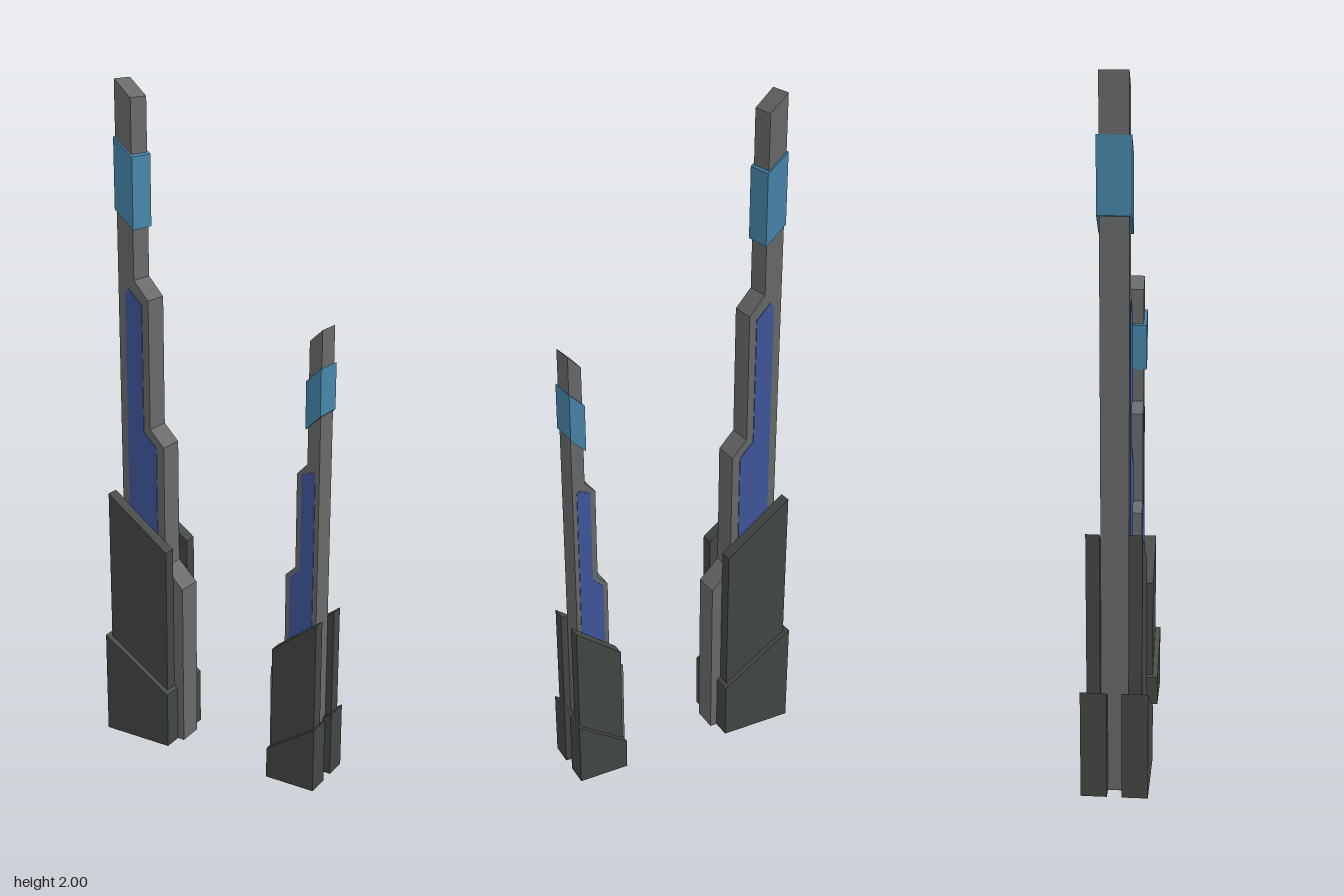
import * as THREE from 'three';

const flat = (name, color) => {
  const m = new THREE.MeshStandardMaterial({ color });
  m.name = name;
  return m;
};

// Extrude a front outline between two depths
function slab(name, points, z0, z1, material) {
  const shape = new THREE.Shape(points.map(([x, y]) => new THREE.Vector2(x, y)));
  const geometry = new THREE.ExtrudeGeometry(shape, { depth: z1 - z0, bevelEnabled: false });
  geometry.translate(0, 0, z0);
  const mesh = new THREE.Mesh(geometry, material);
  mesh.name = name;
  return mesh;
}

// Outline with upright sides and a slanted top
const slanted = ([x0, top0, x1, top1]) => [[x0, 0], [x1, 0], [x1, top1], [x0, top0]];

const TOWERS = [
  {
    name: 'tallTower',
    core: [[-0.327, 0], [-0.117, 0], [-0.117, 0.51], [-0.178, 0.57], [-0.178, 0.95], [-0.225, 1.0],
      [-0.225, 1.385], [-0.273, 1.44], [-0.273, 1.95], [-0.327, 2]],
    coreZ: 0.039,
    panel: [[-0.303, 0.55], [-0.203, 0.55], [-0.203, 0.945], [-0.247, 0.99], [-0.247, 1.37],
      [-0.292, 1.415], [-0.303, 1.405]],
    band: [[-0.329, 1.64], [-0.267, 1.585], [-0.267, 1.79], [-0.329, 1.843]],
    bandZ: 0.046,
    upper: [-0.354, 0.787, -0.15, 0.636], upperZ: 0.0775,
    lower: [-0.365, 0.323, -0.139, 0.175], lowerZ: 0.0955,
  },
  {
    name: 'shortTower',
    core: [[0.189, 0], [0.335, 0], [0.335, 1.37], [0.297, 1.335], [0.297, 0.985], [0.265, 0.952],
      [0.265, 0.67], [0.234, 0.64], [0.234, 0.37], [0.189, 0.335]],
    coreZ: 0.0365,
    panel: [[0.248, 0.38], [0.322, 0.38], [0.322, 0.955], [0.315, 0.965], [0.281, 0.95],
      [0.281, 0.668], [0.248, 0.635]],
    band: [[0.293, 1.087], [0.338, 1.13], [0.338, 1.265], [0.293, 1.225]],
    bandZ: 0.0455,
    upper: [0.214, 0.415, 0.355, 0.522], upperZ: 0.0745,
    lower: [0.207, 0.095, 0.363, 0.2], lowerZ: 0.09,
  },
];

export function createModel() {
  const grey = flat('stone grey', 0x686a6a);
  const dark = flat('dark armour', 0x434742);
  const blue = flat('deep blue', 0x3f569a);
  const sky = flat('light blue', 0x4785a9);

  const model = new THREE.Group();
  model.name = 'twinTowers';
  for (const t of TOWERS) {
    const tower = new THREE.Group();
    tower.name = t.name;

    // Stepped core and the collar near its tip
    tower.add(slab('core', t.core, -t.coreZ, t.coreZ, grey));
    tower.add(slab('collar', t.band, -t.bandZ, t.bandZ, sky));

    // Panels and armour plates on front and back
    for (const side of [1, -1]) {
      const label = side > 0 ? 'front' : 'back';
      const add = (part, points, inner, outer, material) => tower.add(
        slab(label + part, points, Math.min(side * inner, side * outer), Math.max(side * inner, side * outer), material));
      add('Panel', t.panel, t.coreZ - 0.002, t.coreZ + 0.002, blue);
      add('UpperArmour', slanted(t.upper), t.coreZ, t.upperZ, dark);
      add('LowerArmour', slanted(t.lower), 0.021, t.lowerZ, dark);
    }
    tower.position.z = -0.001;
    model.add(tower);
  }
  return model;
}
